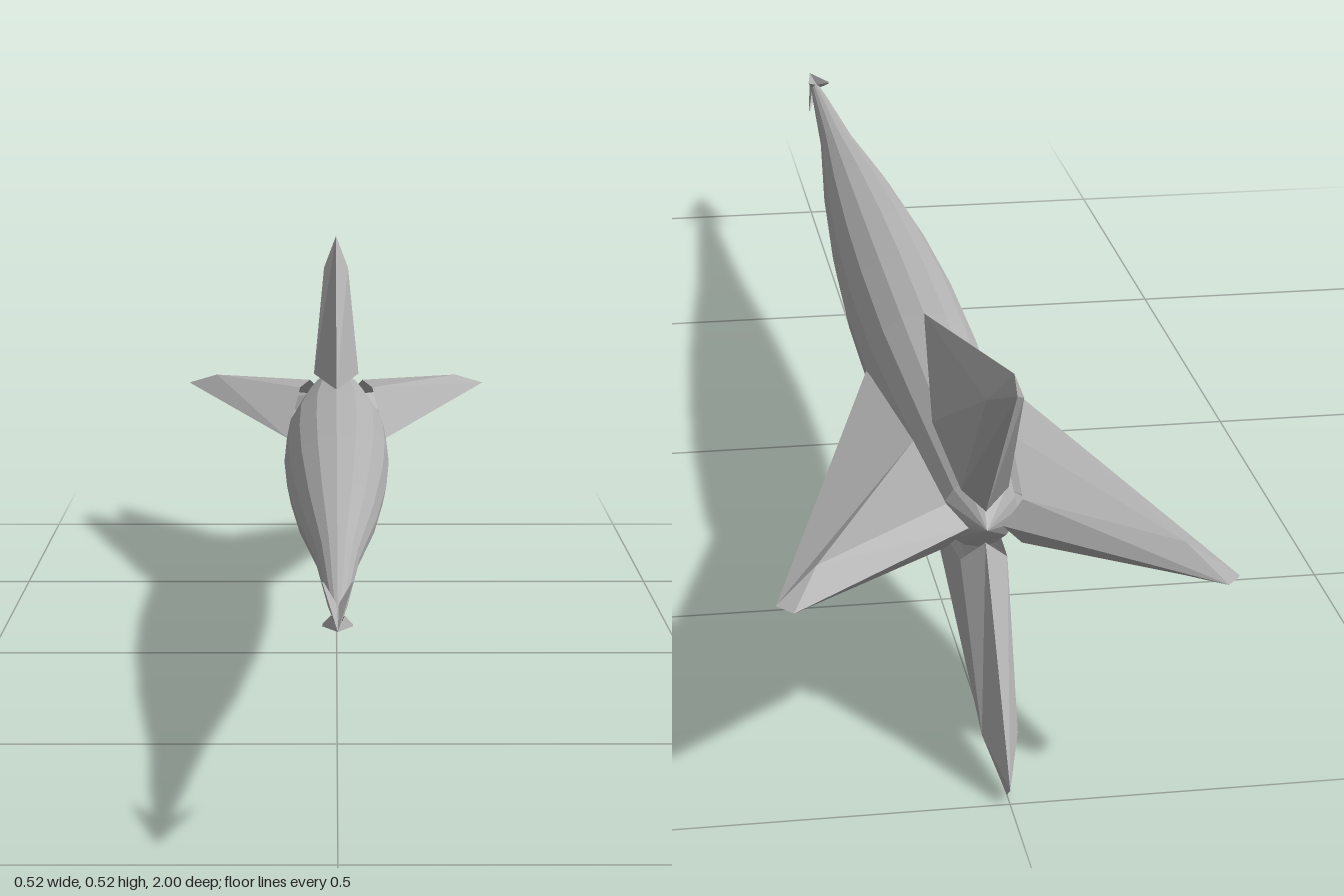
import * as THREE from 'three';

const AXIS_Y = 0.261;

// Lofts two matching closed rings of [x, y, z] points and caps the outer one.
function loft(inner, outer) {
  const pos = [];
  const tri = (a, b, c) => pos.push(...a, ...b, ...c);
  const n = inner.length;
  for (let i = 0; i < n; i++) {
    const j = (i + 1) % n;
    tri(inner[i], inner[j], outer[j]);
    if (outer[i] !== outer[j]) tri(inner[i], outer[j], outer[i]);
  }
  for (let i = 1; i < n - 1; i++) {
    if (outer[i] !== outer[i + 1]) tri(outer[0], outer[i], outer[i + 1]);
  }
  const g = new THREE.BufferGeometry();
  g.setAttribute('position', new THREE.Float32BufferAttribute(pos, 3));
  g.computeVertexNormals();
  return g;
}

export function createModel() {
  const model = new THREE.Group();
  const metal = new THREE.MeshStandardMaterial({ color: 0xb0b0b0, flatShading: true, side: THREE.DoubleSide });
  metal.name = 'grey metal';

  const add = (name, geometry, roll = 0) => {
    const mesh = new THREE.Mesh(geometry, metal);
    mesh.name = name;
    mesh.position.y = AXIS_Y;
    mesh.rotation.z = roll;
    model.add(mesh);
  };

  // Slender faceted body, tail to nose: [radius, z]
  const profile = [
    [0, -0.83], [0.045, -0.78], [0.06, -0.6], [0.077, -0.34], [0.077, -0.12],
    [0.07, 0.08], [0.053, 0.33], [0.027, 0.6], [0.012, 0.85], [0, 1],
  ].map(([r, z]) => new THREE.Vector2(r, z));
  add('body', new THREE.LatheGeometry(profile, 16).rotateX(Math.PI / 2));

  // Swept tail fin pointing along +y, with a thick root and a sharp tip
  const root = [
    [0, 0.076, -0.34], [0.037, 0.06, -0.65], [0.028, 0.045, -0.81],
    [0, 0.02, -0.82], [-0.028, 0.045, -0.81], [-0.037, 0.06, -0.65],
  ];
  const right = [0.021, 0.21, -0.93], left = [-0.021, 0.21, -0.93];
  const tip = [[0, 0.261, -0.98], right, right, [0, 0.243, -1], left, left];
  const fin = loft(root, tip);

  // Thin swept-back barb on the nose
  const barb = loft(
    [[0, 0, 1], [0.004, 0.008, 0.9], [-0.004, 0.008, 0.9]],
    [[0, 0.031, 0.86], [0.001, 0.029, 0.858], [-0.001, 0.029, 0.858]],
  );

  for (let i = 0; i < 4; i++) {
    add('tailFin' + (i + 1), fin, i * Math.PI / 2);
    // Barbs sit on the diagonals, leaning towards the vertical
    const lean = 0.6;
    add('noseBarb' + (i + 1), barb, (i < 2 ? 0 : Math.PI) + (i % 2 ? lean : -lean));
  }
  return model;
}
